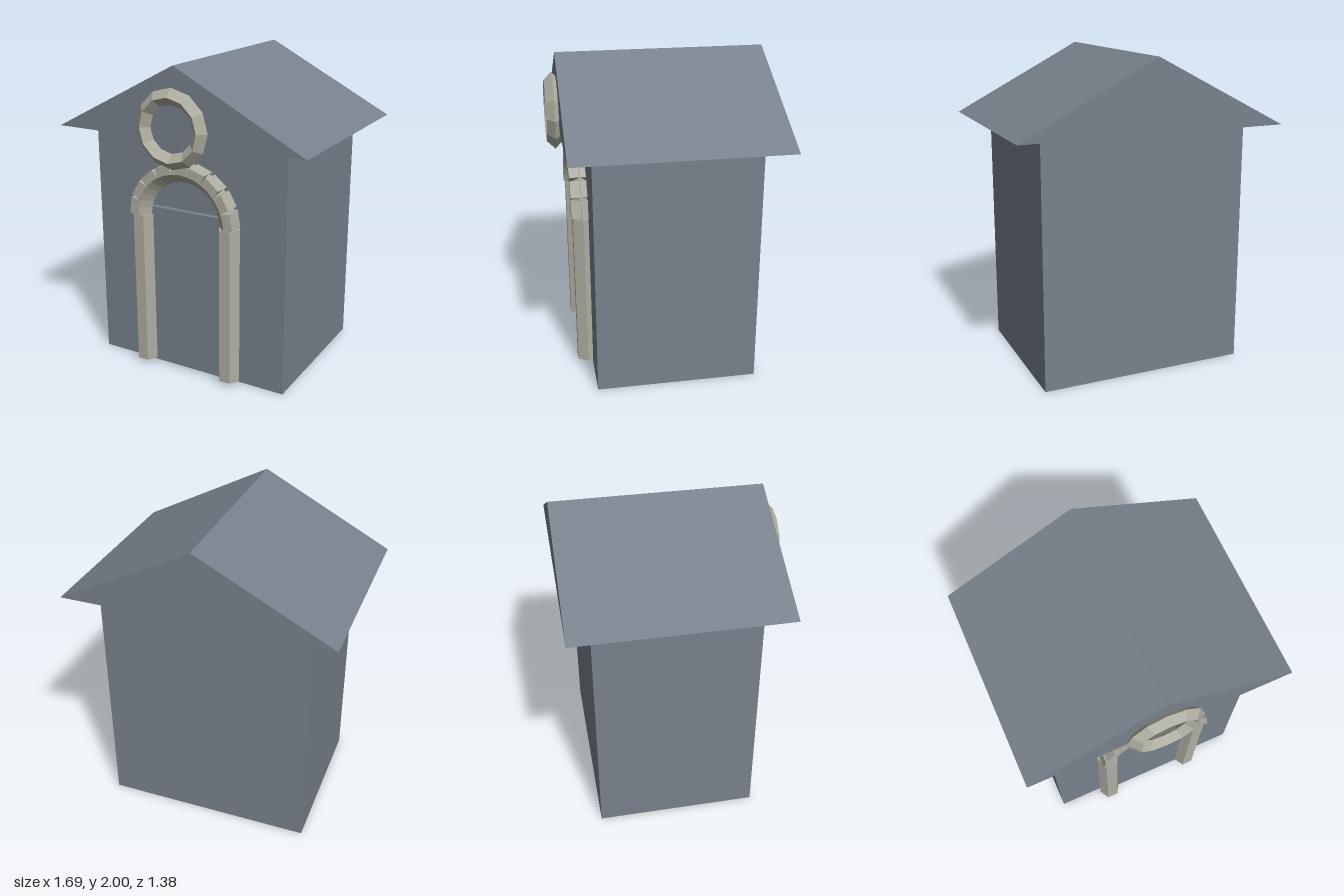
import * as THREE from 'three';

export function createModel() {
  const model = new THREE.Group();
  const slate = new THREE.MeshStandardMaterial({ color: 0x78818c });
  slate.name = 'slate';
  const stone = new THREE.MeshStandardMaterial({ color: 0xaeaea2 });
  stone.name = 'pale stone';

  function add(name, geometry, material, x = 0, y = 0, z = 0, parent = model) {
    // Split corners so that every facet stays flat
    const flat = geometry.index ? geometry.toNonIndexed() : geometry;
    flat.computeVertexNormals();
    const mesh = new THREE.Mesh(flat, material);
    mesh.name = name;
    mesh.position.set(x, y, z);
    parent.add(mesh);
    return mesh;
  }

  // Main block and door panel
  add('walls', new THREE.BoxGeometry(1.33, 1.56, 1.01), slate, 0, 0.78, -0.035);
  add('door', new THREE.BoxGeometry(0.51, 1.07, 0.05), slate, 0, 0.555, 0.48);

  // Gabled roof
  const gable = new THREE.Shape([
    new THREE.Vector2(-0.845, 1.56),
    new THREE.Vector2(0.845, 1.56),
    new THREE.Vector2(0, 2),
  ]);
  add('roof', new THREE.ExtrudeGeometry(gable, { depth: 1.302, bevelEnabled: false }), slate, 0, 0, -0.687);

  // Six-sided door columns
  for (const side of [-1, 1]) {
    const column = add(side > 0 ? 'leftColumn' : 'rightColumn',
      new THREE.CylinderGeometry(0.072, 0.072, 1.01, 6), stone, side * 0.307, 0.535, 0.503);
    column.rotation.y = Math.PI / 6 + Math.PI / 3 * 1;
  }

  // Arch: diamond-section rib with nine stone blocks round its outer half
  const arch = new THREE.Group();
  arch.name = 'arch';
  arch.position.set(0, 1.04, 0);
  model.add(arch);
  add('archRib', new THREE.TorusGeometry(0.304, 0.062, 4, 18, Math.PI), stone, 0, 0, 0.51, arch);
  const blocks = 9;
  for (let i = 0; i < blocks; i++) {
    const angle = (i + 0.5) * Math.PI / blocks;
    const block = add('archBlock', new THREE.BoxGeometry(0.057, 0.106, 0.11), stone,
      0.332 * Math.cos(angle), 0.332 * Math.sin(angle), 0.519, arch);
    block.rotation.z = angle;
  }

  // Round window frame on the gable
  add('windowRing', new THREE.TorusGeometry(0.194, 0.049, 4, 12), stone, 0, 1.635, 0.639);

  return model;
}
